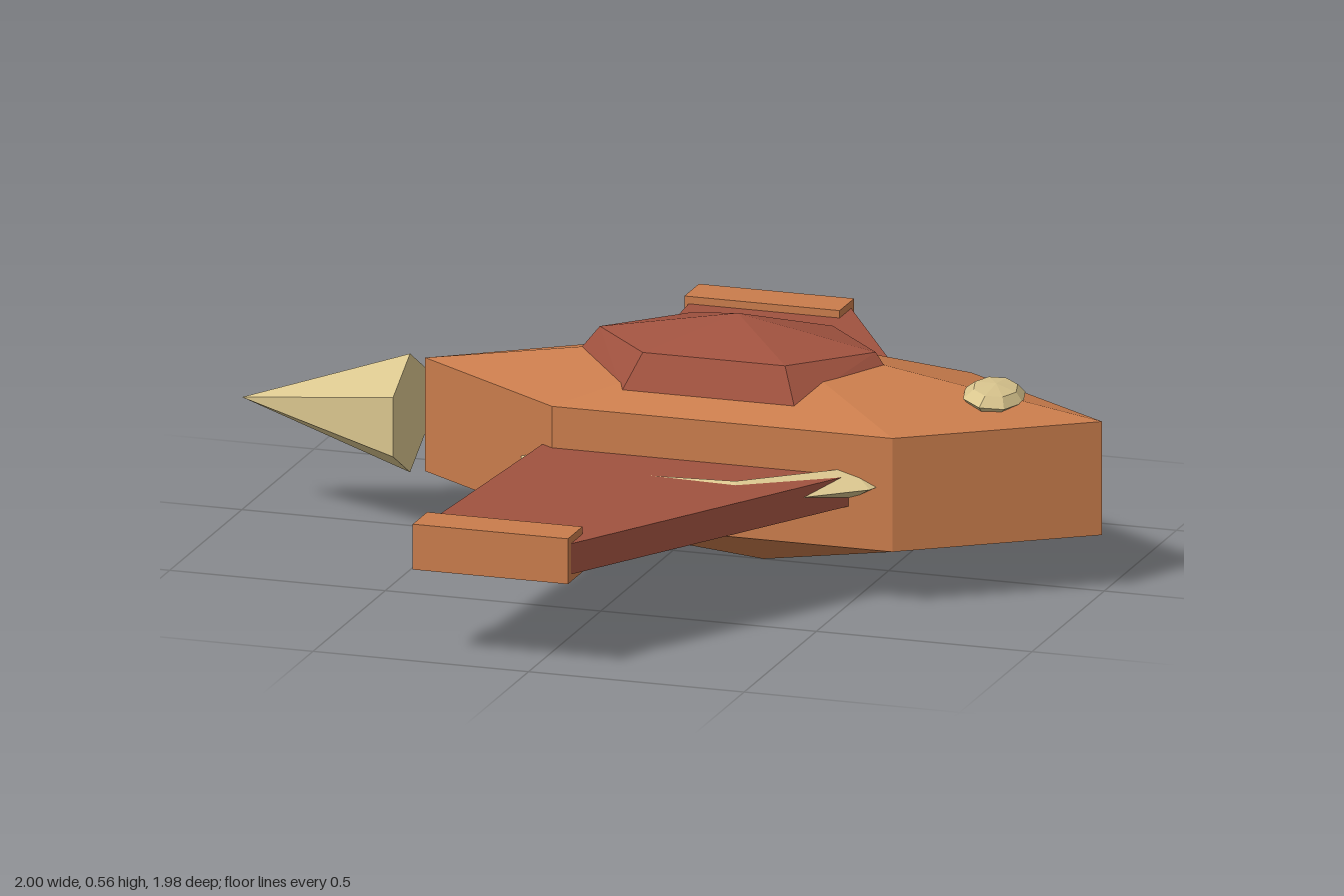
import * as THREE from 'three';
import { ConvexGeometry } from 'three/addons/geometries/ConvexGeometry.js';

function material(name, color) {
  const m = new THREE.MeshStandardMaterial({ color, flatShading: true });
  m.name = name;
  return m;
}

// Elongated hexagon with points on the long axis
function hexRing(back, backSide, frontSide, front, halfWidth, y) {
  return [
    [back, y, 0], [backSide, y, halfWidth], [frontSide, y, halfWidth],
    [front, y, 0], [frontSide, y, -halfWidth], [backSide, y, -halfWidth],
  ];
}

const convex = (points) => new ConvexGeometry(points.map((p) => new THREE.Vector3(...p)));

export function createModel() {
  const orange = material('copper orange', 0xc97c4c);
  const red = material('rust red', 0xa0523f);
  const tan = material('pale tan', 0xd9c58e);

  const ship = new THREE.Group();
  ship.name = 'spaceship';
  const add = (name, geometry, mat, x = 0, y = 0, z = 0) => {
    const mesh = new THREE.Mesh(geometry, mat);
    mesh.name = name;
    mesh.position.set(x, y, z);
    ship.add(mesh);
    return mesh;
  };

  // Hull: hexagonal prism with a shallow peak above and below
  add('hull', convex([
    ...hexRing(-0.575, -0.19, 0.6, 0.995, 0.272, 0.13),
    ...hexRing(-0.575, -0.19, 0.6, 0.995, 0.272, 0.39),
    [0.21, 0.002, 0], [0.21, 0.518, 0],
  ]), orange);

  // Canopy: bevelled hexagon with a low peak
  add('canopy', convex([
    ...hexRing(-0.235, -0.05, 0.35, 0.525, 0.205, 0.42),
    ...hexRing(-0.17, -0.015, 0.315, 0.47, 0.165, 0.5),
    [0.15, 0.56, 0],
  ]), red);

  // Tail spike, detached behind the hull
  const spike = new THREE.ConeGeometry(0.136, 0.39, 6);
  spike.rotateZ(Math.PI / 2);
  const tail = add('tailSpike', spike, tan, -0.805, 0.26, 0);
  // turn so that a ridge runs along the top
  const highest = () => {
    spike.computeBoundingBox();
    return spike.boundingBox.max.y;
  };
  if (highest() < 0.13) tail.rotation.x = Math.PI / 6;

  // Nose lamp: flattened faceted dome lying on the sloping hull
  const lamp = new THREE.SphereGeometry(1, 8, 4);
  lamp.scale(0.068, 0.028, 0.105);
  add('noseLamp', lamp, tan, 0.745, 0.427, 0).rotation.z = -0.165;

  // Ring around the hull, tipped slightly up at the nose
  const ring = new THREE.TorusGeometry(0.431, 0.07, 4, 10);
  ring.rotateX(Math.PI / 2);
  ring.scale(1, 0.5, 1);
  add('ring', ring, tan, 0.15, 0.262, 0).rotation.z = 0.03;

  // Swept wings with box tips
  for (const [side, s] of [['left', 1], ['right', -1]]) {
    const outline = [[-0.215, 0.2], [0.54, 0.2], [0.085, 0.975], [-0.268, 0.975]];
    add(`${side}Wing`, convex(outline.flatMap(([x, z]) => [[x, 0.225, s * z], [x, 0.295, s * z]])), red);
    add(`${side}WingTip`, new THREE.BoxGeometry(0.36, 0.104, 0.1), orange, -0.092, 0.26, s * 0.94);
  }

  return ship;
}
